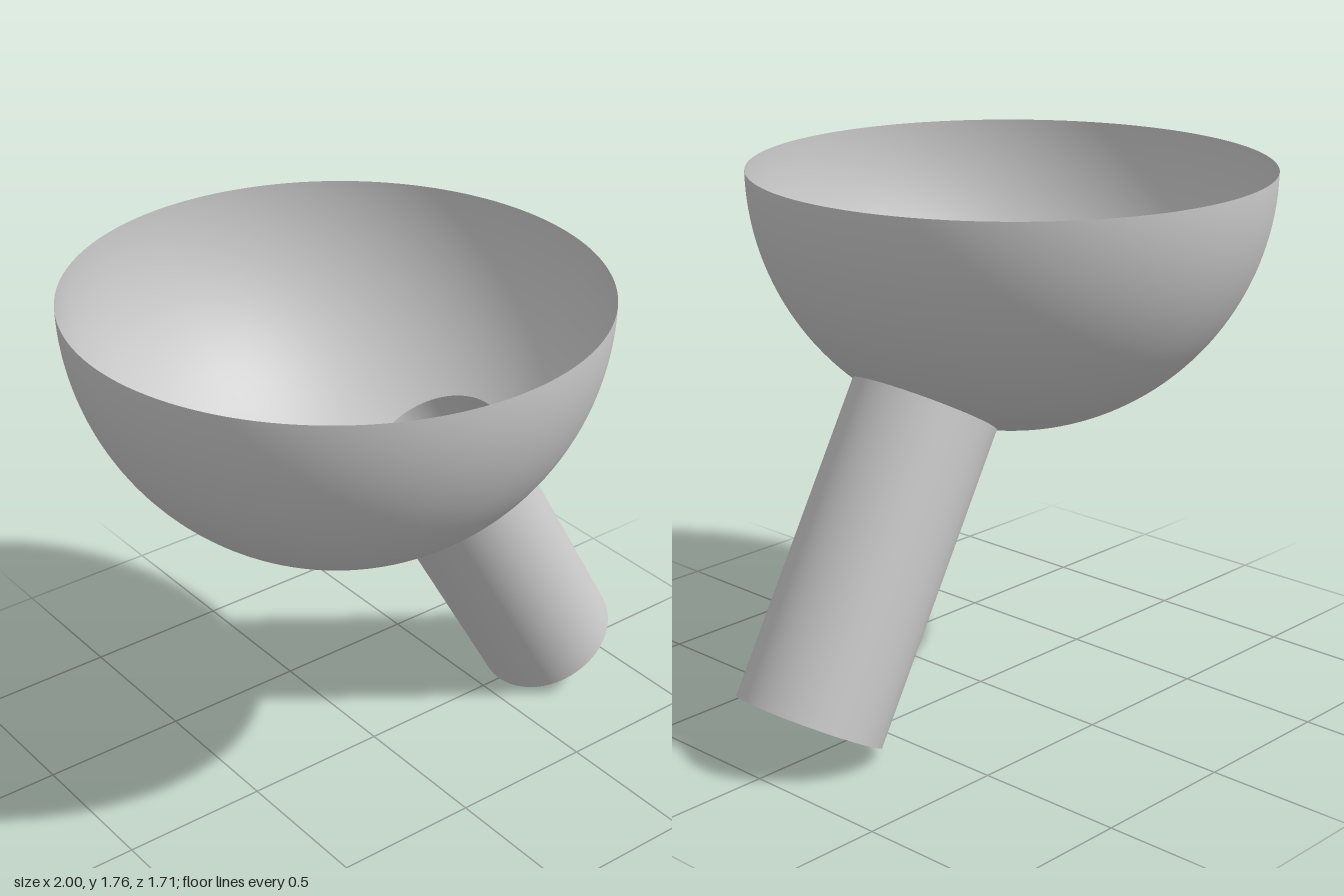
import * as THREE from 'three';
import { ParametricGeometry } from 'three/addons/geometries/ParametricGeometry.js';

const R = 0.855;                              // bowl radius
const r = 0.244;                              // tube radius
const tilt = THREE.MathUtils.degToRad(29.6);  // tube lean from vertical
const reach = 1.888;                          // bowl centre to tube end
const center = new THREE.Vector3(R - 1, 1.762, 0);

export function createModel() {
  const group = new THREE.Group();
  const material = new THREE.MeshStandardMaterial({ color: 0xcccccc, side: THREE.DoubleSide });

  // Frame around the tube axis, which passes through the bowl centre
  const axis = new THREE.Vector3(Math.sin(tilt), -Math.cos(tilt), 0);
  const across = new THREE.Vector3(Math.cos(tilt), Math.sin(tilt), 0);
  const side = new THREE.Vector3(0, 0, 1);
  const holeAngle = Math.asin(r / R);

  // Hemispherical bowl: swept from the round tube opening up to the level rim
  const bowlGeometry = new ParametricGeometry((s, t, target) => {
    const phi = t * Math.PI * 2;
    const rimAngle = Math.atan2(Math.cos(tilt), Math.sin(tilt) * Math.cos(phi));
    const theta = THREE.MathUtils.lerp(holeAngle, rimAngle, s);
    target.copy(center)
      .addScaledVector(axis, R * Math.cos(theta))
      .addScaledVector(across, R * Math.sin(theta) * Math.cos(phi))
      .addScaledVector(side, R * Math.sin(theta) * Math.sin(phi));
  }, 48, 128);
  const bowl = new THREE.Mesh(bowlGeometry, material);
  bowl.name = 'bowl';

  // Open tube leaning out of the opening in the bowl
  const start = R * Math.cos(holeAngle);
  const tube = new THREE.Mesh(
    new THREE.CylinderGeometry(r, r, reach - start, 128, 1, true), material);
  tube.name = 'tube';
  tube.position.copy(center).addScaledVector(axis, (start + reach) / 2);
  tube.rotation.z = tilt;

  group.add(bowl, tube);
  return group;
}
